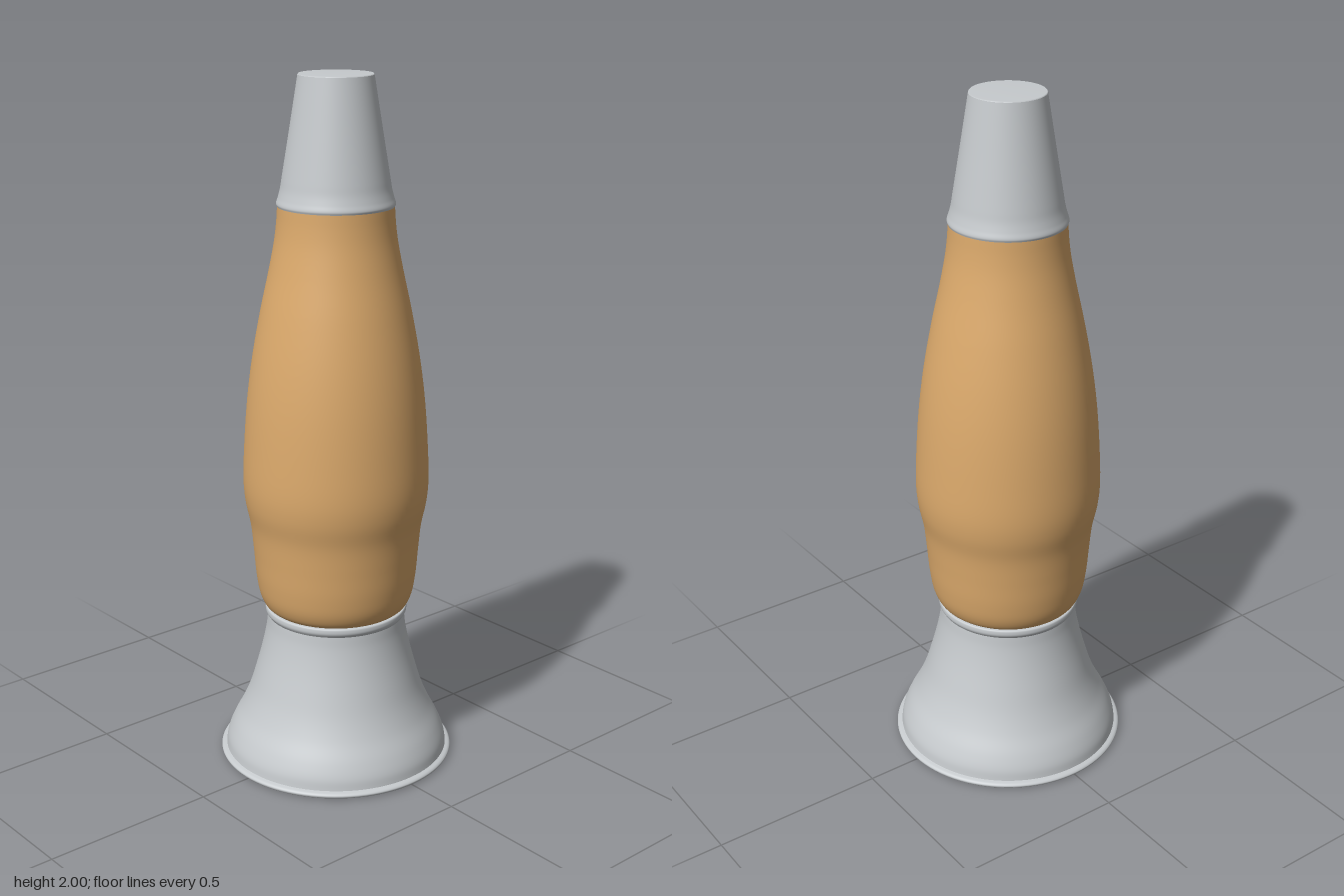
import * as THREE from 'three';

const silver = new THREE.MeshStandardMaterial({ name: 'silver metal', color: 0xc6cacd });
const amber = new THREE.MeshStandardMaterial({ name: 'amber glass', color: 0xdcaa6c });

// Turned surface from [radius, height] points, listed from bottom to top
function turned(name, points, material, smooth = true) {
  let profile = points.map(([r, y]) => new THREE.Vector2(r, y));
  if (smooth) {
    const curve = new THREE.CatmullRomCurve3(profile.map(p => new THREE.Vector3(p.x, p.y, 0)), false, 'centripetal');
    profile = curve.getPoints(points.length * 5).map(p => new THREE.Vector2(p.x, p.y));
  }
  const mesh = new THREE.Mesh(new THREE.LatheGeometry(profile, 96), material);
  mesh.name = name;
  return mesh;
}

export function createModel() {
  const model = new THREE.Group();
  model.name = 'lavaLamp';

  // Flared metal base: underside, foot rim, body and collar
  const base = new THREE.Group();
  base.name = 'base';
  base.add(
    turned('underside', [[0, 0], [0.335, 0]], silver, false),
    turned('footRim', [[0.335, 0], [0.343, 0.005], [0.345, 0.011], [0.341, 0.016], [0.33, 0.02]], silver),
    turned('baseBody', [[0.33, 0.02], [0.325, 0.05], [0.309, 0.09], [0.28, 0.145], [0.257, 0.2],
      [0.237, 0.265], [0.217, 0.34], [0.205, 0.4], [0.201, 0.438]], silver),
    turned('collar', [[0.201, 0.438], [0.207, 0.448], [0.208, 0.456], [0.206, 0.464], [0.196, 0.466]], silver),
    turned('collarTop', [[0.196, 0.466], [0, 0.466]], silver, false),
  );
  model.add(base);

  // Glass vessel with a belly low down and a narrow neck
  model.add(turned('glass', [[0.196, 0.464], [0.209, 0.475], [0.223, 0.505], [0.233, 0.56], [0.24, 0.64],
    [0.248, 0.72], [0.262, 0.79], [0.267, 0.85], [0.263, 0.96], [0.252, 1.1], [0.236, 1.22],
    [0.212, 1.35], [0.186, 1.47], [0.171, 1.55], [0.165, 1.6], [0.162, 1.645]], amber));

  // Tapered metal cap with a small flared lip
  const cap = new THREE.Group();
  cap.name = 'cap';
  cap.add(
    turned('capUnderside', [[0, 1.643], [0.163, 1.643]], silver, false),
    turned('capLip', [[0.163, 1.643], [0.165, 1.65], [0.16, 1.667], [0.154, 1.69], [0.149, 1.72],
      [0.126, 1.86], [0.104, 1.997]], silver),
    turned('capTop', [[0.104, 1.997], [0.102, 2], [0, 2]], silver, false),
  );
  model.add(cap);

  return model;
}
